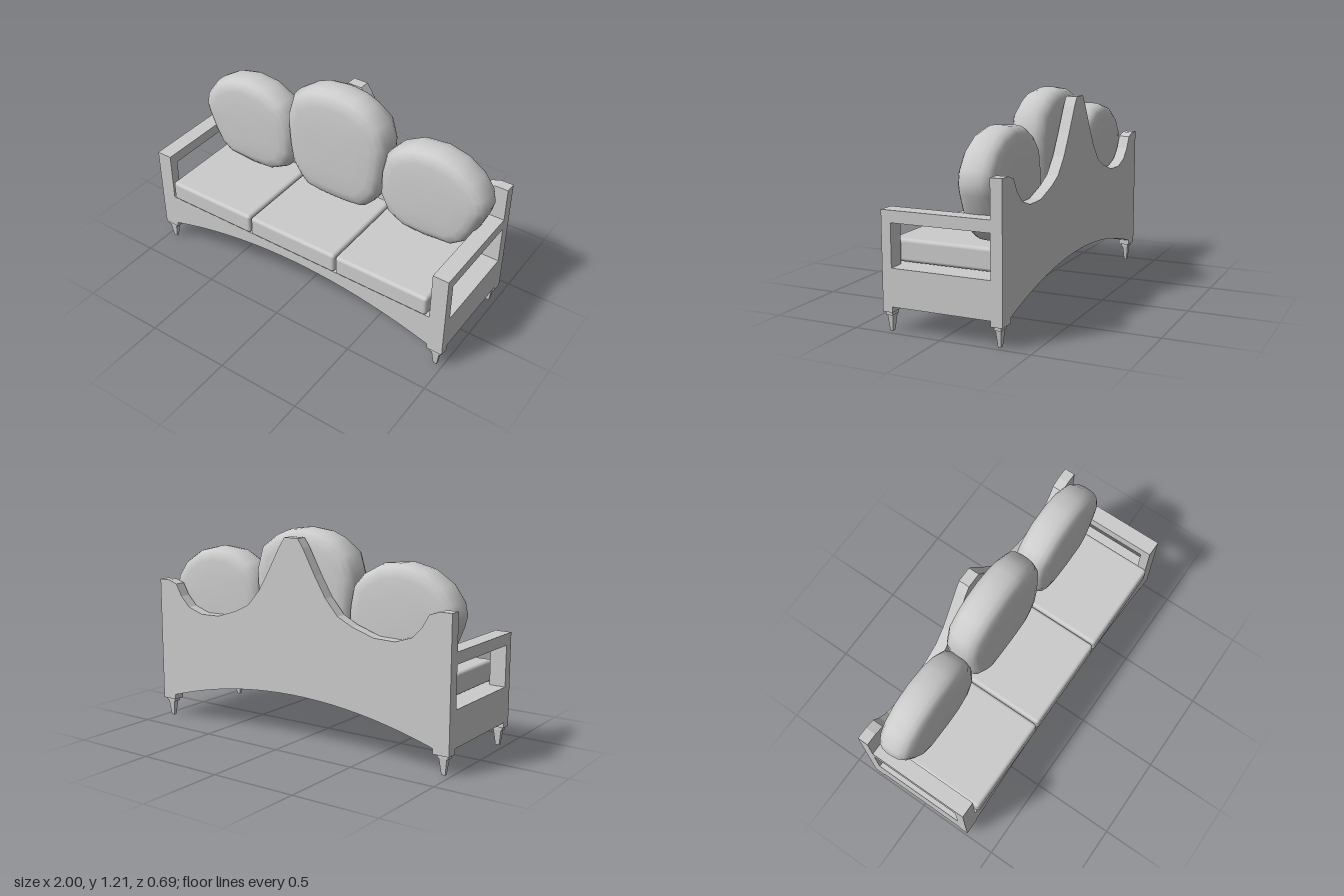
import * as THREE from 'three';
import { RoundedBoxGeometry } from 'three/addons/geometries/RoundedBoxGeometry.js';

const material = new THREE.MeshStandardMaterial({ color: 0xcccccc });

function add(parent, name, geometry, x = 0, y = 0, z = 0) {
  const mesh = new THREE.Mesh(geometry, material);
  mesh.name = name;
  mesh.position.set(x, y, z);
  parent.add(mesh);
  return mesh;
}

const extrude = (shape, depth) =>
  new THREE.ExtrudeGeometry(shape, { depth, bevelEnabled: false, curveSegments: 20 });

// Plump cushion: an outline (anticlockwise from the front) lofted through scaled rings
function cushionGeometry(outline, depth) {
  const profile = [[0, 1], [0.45, 0.985], [0.74, 0.94], [0.86, 0.86], [0.94, 0.7], [0.985, 0.45], [1, 0.15]];
  const rings = [
    ...profile.map(([s, d]) => [s, -d]),
    ...profile.slice().reverse(),
  ];
  const xs = outline.map((p) => p[0]), ys = outline.map((p) => p[1]);
  const cx = (Math.min(...xs) + Math.max(...xs)) / 2;
  const cy = (Math.min(...ys) + Math.max(...ys)) / 2;
  const n = outline.length, positions = [], index = [];
  rings.forEach(([s, d], k) => {
    outline.forEach(([x, y], i) => {
      positions.push(cx + (x - cx) * s, cy + (y - cy) * s, d * depth);
      if (k === rings.length - 1) return;
      const a = k * n + i, b = k * n + (i + 1) % n;
      if (k > 0) index.push(a, b, b + n);
      else index.push(a, b + n, a + n);
      if (k > 0 && k < rings.length - 2) index.push(a, b + n, a + n);
    });
  });
  const geometry = new THREE.BufferGeometry();
  geometry.setAttribute('position', new THREE.Float32BufferAttribute(positions, 3));
  geometry.setIndex(index);
  geometry.computeVertexNormals();
  return geometry;
}

const mirrorOutline = (points) => points.map(([x, y]) => [-x, y]).reverse();

export function createModel() {
  const sofa = new THREE.Group();
  sofa.name = 'sofa';

  // Seat base with arched underside
  const base = new THREE.Shape();
  base.moveTo(-0.905, 0.14);
  base.quadraticCurveTo(0, 0.42, 0.905, 0.14);
  base.lineTo(0.905, 0.345);
  base.lineTo(-0.905, 0.345);
  add(sofa, 'seatBase', extrude(base, 0.615), 0, 0, -0.285);

  // Scalloped back panel with a central peak
  const crest = [[0.93, 0.85], [0.87, 0.83], [0.83, 0.76], [0.77, 0.7], [0.67, 0.667], [0.54, 0.67],
    [0.4, 0.715], [0.31, 0.76], [0.23, 0.85], [0.16, 0.965], [0.08, 1.11], [0.045, 1.16]];
  const back = new THREE.Shape();
  back.moveTo(-1, 0.11);
  back.lineTo(-0.905, 0.11);
  back.lineTo(-0.905, 0.14);
  back.quadraticCurveTo(0, 0.42, 0.905, 0.14);
  back.lineTo(0.905, 0.11);
  back.lineTo(1, 0.11);
  back.lineTo(1, 0.85);
  crest.forEach(([x, y]) => back.lineTo(x, y));
  mirrorOutline(crest).forEach(([x, y]) => back.lineTo(x, y));
  back.lineTo(-1, 0.85);
  add(sofa, 'backPanel', extrude(back, 0.065), 0, 0, -0.35);

  // Open arm frames, drawn as [-z, y] and turned to run along x
  const armShape = new THREE.Shape([
    [-0.33, 0.11], [-0.275, 0.11], [-0.275, 0.14], [0.285, 0.14], [0.285, 0.345],
    [-0.275, 0.345], [-0.275, 0.58], [0.285, 0.58], [0.285, 0.645], [-0.33, 0.645],
  ].map((p) => new THREE.Vector2(...p)));
  const armGeometry = extrude(armShape, 0.095).rotateY(Math.PI / 2);
  add(sofa, 'leftArm', armGeometry, 0.905);
  add(sofa, 'rightArm', armGeometry, -1);

  // Tapered legs with a square collar
  const legGeometry = new THREE.CylinderGeometry(Math.SQRT1_2, Math.SQRT1_2 * 0.5, 0.09, 4, 1)
    .rotateY(Math.PI / 4).scale(0.046, 1, 0.032);
  legGeometry.deleteAttribute('normal');
  const flatLeg = legGeometry.toNonIndexed();
  flatLeg.computeVertexNormals();
  for (const x of [-0.955, 0.955]) {
    for (const z of [0.303, -0.316]) {
      const leg = new THREE.Group();
      leg.name = 'leg';
      leg.position.set(x, 0, z);
      add(leg, 'legCollar', new THREE.BoxGeometry(0.064, 0.02, 0.04), 0, 0.1, 0);
      add(leg, 'legTaper', flatLeg, 0, 0.045, 0);
      sofa.add(leg);
    }
  }

  // Three seat cushions
  for (const x of [-0.595, 0, 0.595]) {
    add(sofa, 'seatCushion', new RoundedBoxGeometry(0.588, 0.125, 0.6, 3, 0.02), x, 0.413, 0.045);
  }

  // Back cushions: tall one in the middle, leaning ones either side
  const half = [[0.1, 0.477], [0.2, 0.49], [0.25, 0.54], [0.305, 0.62], [0.325, 0.74], [0.334, 0.85],
    [0.338, 0.96], [0.3, 1.09], [0.2, 1.16], [0.12, 1.192]];
  const middle = [[0, 0.475], ...half, [0, 1.207], ...mirrorOutline(half)];
  const side = [[0.97, 0.8], [0.955, 0.87], [0.89, 0.96], [0.78, 1.03], [0.65, 1.06], [0.5, 1.045],
    [0.39, 0.985], [0.33, 0.92], [0.305, 0.8], [0.305, 0.65], [0.36, 0.54], [0.46, 0.485],
    [0.6, 0.475], [0.79, 0.488], [0.86, 0.54], [0.91, 0.63], [0.955, 0.74]];
  add(sofa, 'middleBackCushion', cushionGeometry(middle, 0.118), 0, 0, -0.165);
  add(sofa, 'leftBackCushion', cushionGeometry(side, 0.112), 0, 0, -0.168);
  add(sofa, 'rightBackCushion', cushionGeometry(mirrorOutline(side), 0.112), 0, 0, -0.168);

  return sofa;
}
